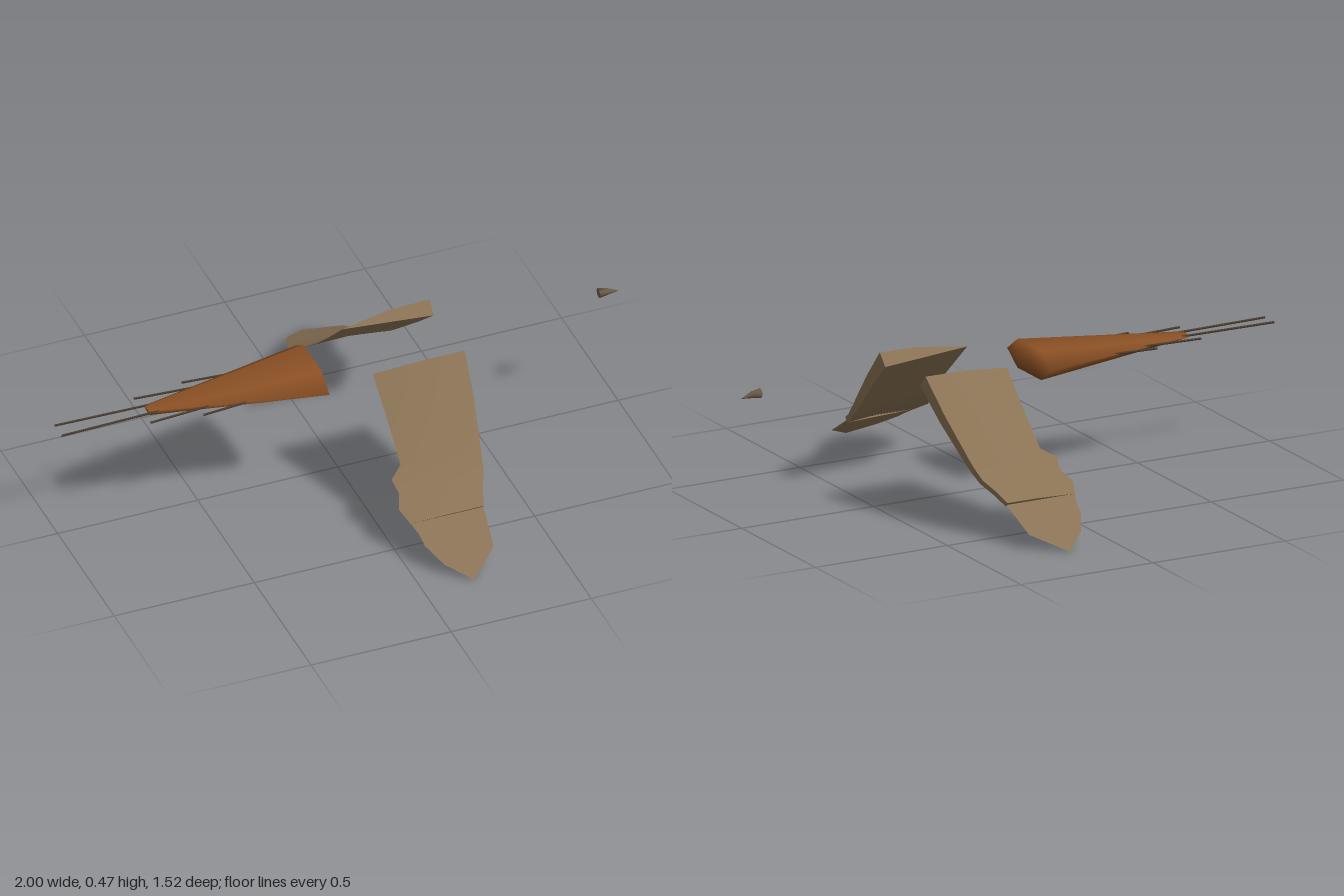
import * as THREE from 'three';
import { toCreasedNormals } from 'three/addons/utils/BufferGeometryUtils.js';

// Closed skin over rings of [x, y, z] points; each ring runs clockwise seen from its end side.
function loft(rings, flip = false) {
  const n = rings[0].length, last = (rings.length - 1) * n, index = [];
  const tri = (a, b, c) => (flip ? index.push(a, c, b) : index.push(a, b, c));
  for (let i = 0; i < rings.length - 1; i++) {
    for (let k = 0; k < n; k++) {
      const a = i * n + k, b = i * n + (k + 1) % n;
      tri(a, a + n, b);
      tri(b, a + n, b + n);
    }
  }
  for (let k = 1; k < n - 1; k++) {
    tri(0, k, k + 1);
    tri(last, last + k + 1, last + k);
  }
  const g = new THREE.BufferGeometry();
  g.setAttribute('position', new THREE.Float32BufferAttribute(rings.flat(2), 3));
  g.setIndex(index);
  g.computeVertexNormals();
  return g;
}

// Wing stations: z, y of the upper skin, trailing x, leading x, leading thickness
const STATIONS = [
  [0.155, 0.475, 0.07, 0.39, 0.055],
  [0.26, 0.37, 0.074, 0.378, 0.046],
  [0.38, 0.25, 0.075, 0.355, 0.032],
  [0.41, 0.22, 0.03, 0.348, 0.028],
  [0.45, 0.187, 0.04, 0.338, 0.023],
  [0.5, 0.158, 0.02, 0.315, 0.021],
  [0.55, 0.13, 0.04, 0.30, 0.02],
];
// Outline of the thin wing tip: x, z
const TIP = [[0.04, 0.54], [0.30, 0.54], [0.285, 0.67], [0.18, 0.76],
  [0.10, 0.69], [0.06, 0.62], [0.055, 0.58]];

export function createModel() {
  const model = new THREE.Group();
  const material = (name, color) => {
    const m = new THREE.MeshStandardMaterial({ color });
    m.name = name;
    return m;
  };
  const wingBrown = material('wing brown', 0x8b7355);
  wingBrown.side = THREE.DoubleSide;
  const tailBrown = material('tail brown', 0x8b5024);
  const quillBrown = material('dark quill brown', 0x4a3d2e);
  const beakBrown = material('beak brown', 0x6b5a48);
  const add = (parent, name, geometry, mat) => {
    const mesh = new THREE.Mesh(geometry, mat);
    mesh.name = name;
    parent.add(mesh);
    return mesh;
  };

  for (const s of [1, -1]) {
    const wing = new THREE.Group();
    wing.name = s > 0 ? 'frontWing' : 'backWing';
    model.add(wing);

    // Drooping blade, thick along its leading edge and thin behind
    const rings = STATIONS.map(([z, y, xT, xL, t]) => {
      const p = (x, drop) => [x, y - drop * t * 0.74, s * (z - drop * t * 0.67)];
      const xM = xT + (xL - xT) * 0.55;
      return [p(xT, 0.55), p(xM, 0.05), p(xL, 0), p(xL, 1), p(xM, 0.45)];
    });
    add(wing, 'wingBlade', toCreasedNormals(loft(rings, s < 0), 0.6), wingBrown);

    // Flat feather tip sloping down to the ground
    const shape = new THREE.Shape(TIP.map(([x, z]) => new THREE.Vector2(x, z)));
    const tip = new THREE.ShapeGeometry(shape);
    const pos = tip.attributes.position;
    for (let i = 0; i < pos.count; i++) {
      const z = pos.getY(i);
      pos.setXYZ(i, pos.getX(i), (0.76 - z) * 0.56, s * z);
    }
    if (s > 0) tip.index.array.reverse();
    tip.computeVertexNormals();
    add(wing, 'wingTip', tip, wingBrown);

    // Long tail quills: outer x, outer z, inner x, inner z
    for (const [x0, z0, x1, z1] of [
      [-1, 0.031, -0.6, 0.021], [-0.7, 0.073, -0.45, 0.055], [-0.52, 0.098, -0.3, 0.08],
    ]) {
      const path = new THREE.LineCurve3(
        new THREE.Vector3(x0, 0.42, s * z0), new THREE.Vector3(x1, 0.42, s * z1));
      add(model, 'tailQuill', new THREE.TubeGeometry(path, 1, 0.004, 6), quillBrown);
    }
  }

  // Tapered six-sided tail with soft edges
  const section = [[0.08, 1], [-0.08, 1], [-0.15, 0], [-0.08, -1], [0.08, -1], [0.15, 0]];
  const tailRing = (x, width, half, y) =>
    section.map(([z, h]) => [x, y + h * half, z * width]);
  add(model, 'tail', loft([
    tailRing(-0.68, 0.19, 0.007, 0.417),
    tailRing(-0.09, 1, 0.05, 0.42),
  ]), tailBrown);

  // Small pointed beak
  const beakRing = (x, y, r) => Array.from({ length: 8 }, (_, k) => {
    const a = (k / 8) * Math.PI * 2;
    return [x, y + r * Math.cos(a), -r * Math.sin(a)];
  });
  add(model, 'beak', loft([
    beakRing(0.93, 0.458, 0.017),
    beakRing(0.96, 0.457, 0.012),
    beakRing(1, 0.449, 0.001),
  ]), beakBrown);

  return model;
}
